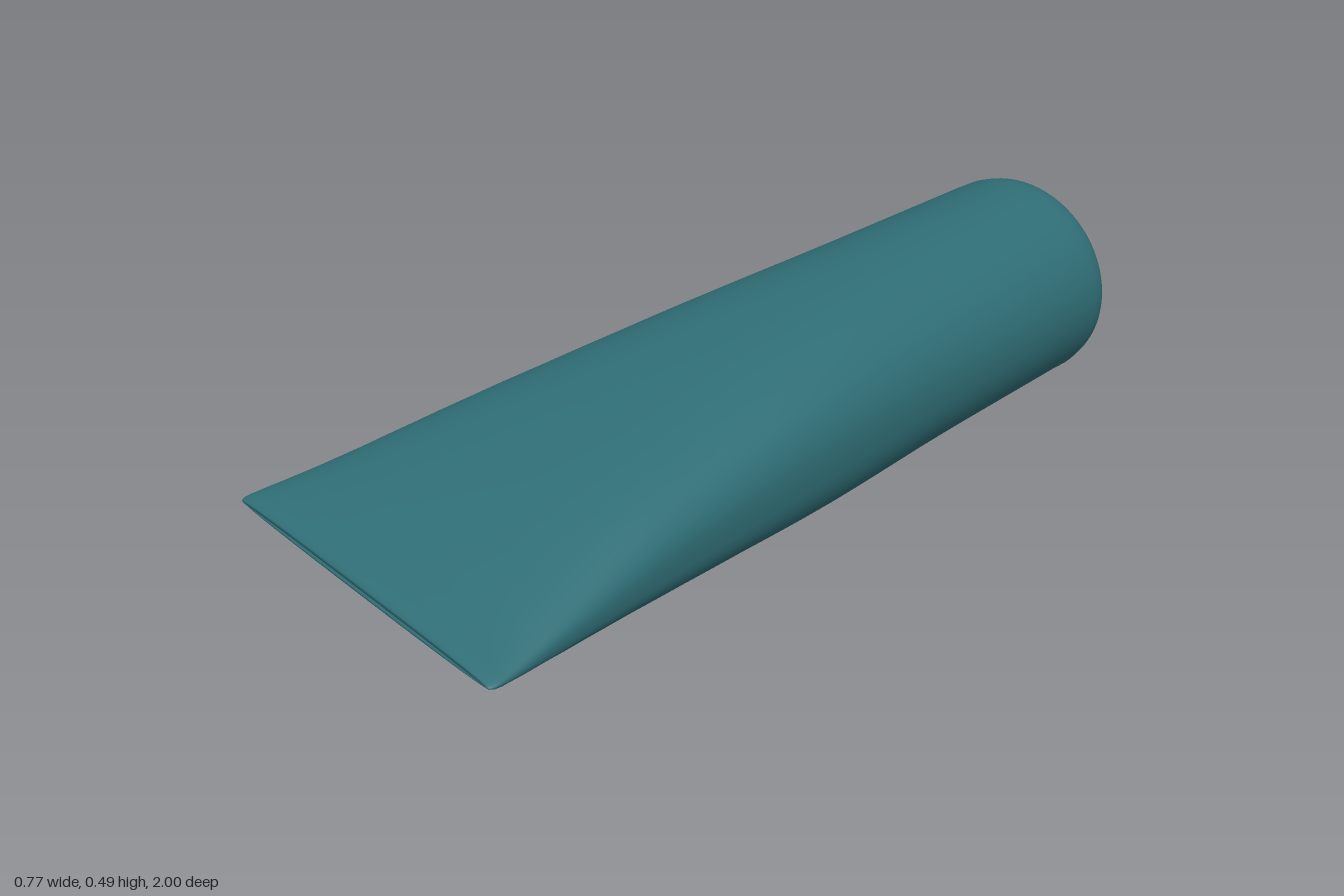
import * as THREE from 'three';

const SIDES = 72;

// Smooth curve through rows of numbers, returned as finer rows
function refine(rows, steps) {
  const out = [];
  for (let i = 0; i < rows.length - 1; i++) {
    const p0 = rows[Math.max(i - 1, 0)], p1 = rows[i];
    const p2 = rows[i + 1], p3 = rows[Math.min(i + 2, rows.length - 1)];
    for (let s = 0; s < steps; s++) {
      const t = s / steps;
      out.push(p1.map((b, k) => {
        // tangents scaled by the z spacing so uneven rows do not overshoot
        const dz = p2[0] - p1[0];
        const m1 = (p2[k] - p0[k]) / (p2[0] - p0[0]) * dz;
        const m2 = (p3[k] - b) / (p3[0] - p1[0]) * dz;
        const t2 = t * t, t3 = t2 * t;
        return (2 * t3 - 3 * t2 + 1) * b + (t3 - 2 * t2 + t) * m1
          + (3 * t2 - 2 * t3) * p2[k] + (t3 - t2) * m2;
      }));
    }
  }
  out.push(rows[rows.length - 1]);
  return out;
}

// Skin closed sections [z, half width, half height, centre x, centre y, squareness, slope]
function loft(rows) {
  const pos = [], index = [];
  for (const [z, w, h, cx, cy, n, slope] of rows) {
    for (let j = 0; j < SIDES; j++) {
      const a = j / SIDES * Math.PI * 2;
      const c = Math.cos(a), s = Math.sin(a);
      const x = Math.sign(c) * Math.abs(c) ** (2 / n) * w;
      const y = Math.sign(s) * Math.abs(s) ** (2 / n) * h;
      pos.push(cx + x, cy + y + slope * x, z);
    }
  }
  for (let i = 0; i < rows.length - 1; i++) {
    for (let j = 0; j < SIDES; j++) {
      const k = (j + 1) % SIDES;
      const a = i * SIDES + j, b = i * SIDES + k, c = a + SIDES, d = b + SIDES;
      index.push(a, b, c, b, d, c);
    }
  }
  const geo = new THREE.BufferGeometry();
  geo.setAttribute('position', new THREE.Float32BufferAttribute(pos, 3));
  geo.setIndex(index);
  geo.computeVertexNormals();
  return geo;
}

export function createModel() {
  const group = new THREE.Group();
  group.name = 'flatNozzle';
  const teal = new THREE.MeshStandardMaterial({ color: 0x2f6d75, roughness: 0.6 });

  // Bore and rounded rim at the round end: [radius, z], from the inside out
  const rimCurve = new THREE.CatmullRomCurve3([
    [0.001, -0.6], [0.05, -0.61], [0.065, -0.72], [0.08, -0.85], [0.11, -0.93],
    [0.15, -0.975], [0.19, -0.998], [0.222, -0.995], [0.243, -0.975], [0.252, -0.94],
  ].map(([r, z]) => new THREE.Vector3(r, z, 0)));
  const rim = rimCurve.getPoints(40).map(p =>
    [p.y, p.x * 1.02, p.x * 0.965, -0.02, 0.252, 2, 0]);

  // Body flattening and widening to the tilted tip
  const body = refine([
    [-0.9, 0.258, 0.243, -0.02, 0.252, 2, 0],
    [-0.4, 0.278, 0.228, -0.013, 0.243, 2.15, -0.01],
    [0, 0.3, 0.202, -0.005, 0.237, 2.45, -0.03],
    [0.4, 0.331, 0.15, -0.005, 0.232, 2.7, -0.05],
    [0.6, 0.35, 0.115, -0.003, 0.23, 2.75, -0.06],
    [0.8, 0.37, 0.072, 0, 0.227, 2.7, -0.072],
    [0.92, 0.383, 0.04, 0, 0.226, 2.6, -0.08],
    [0.975, 0.387, 0.023, 0, 0.226, 2.6, -0.083],
  ], 8);

  // Blunt closed edge at the tip
  const tip = [[0.99, 0.386, 0.017], [0.998, 0.382, 0.01], [1, 0.374, 0.004], [0.99, 0.001, 0.001]]
    .map(([z, w, h]) => [z, w, h, 0, 0.226, 2.6, -0.083]);

  const mesh = new THREE.Mesh(loft([...rim, ...body, ...tip]), teal);
  mesh.name = 'nozzleBody';
  group.add(mesh);
  return group;
}
